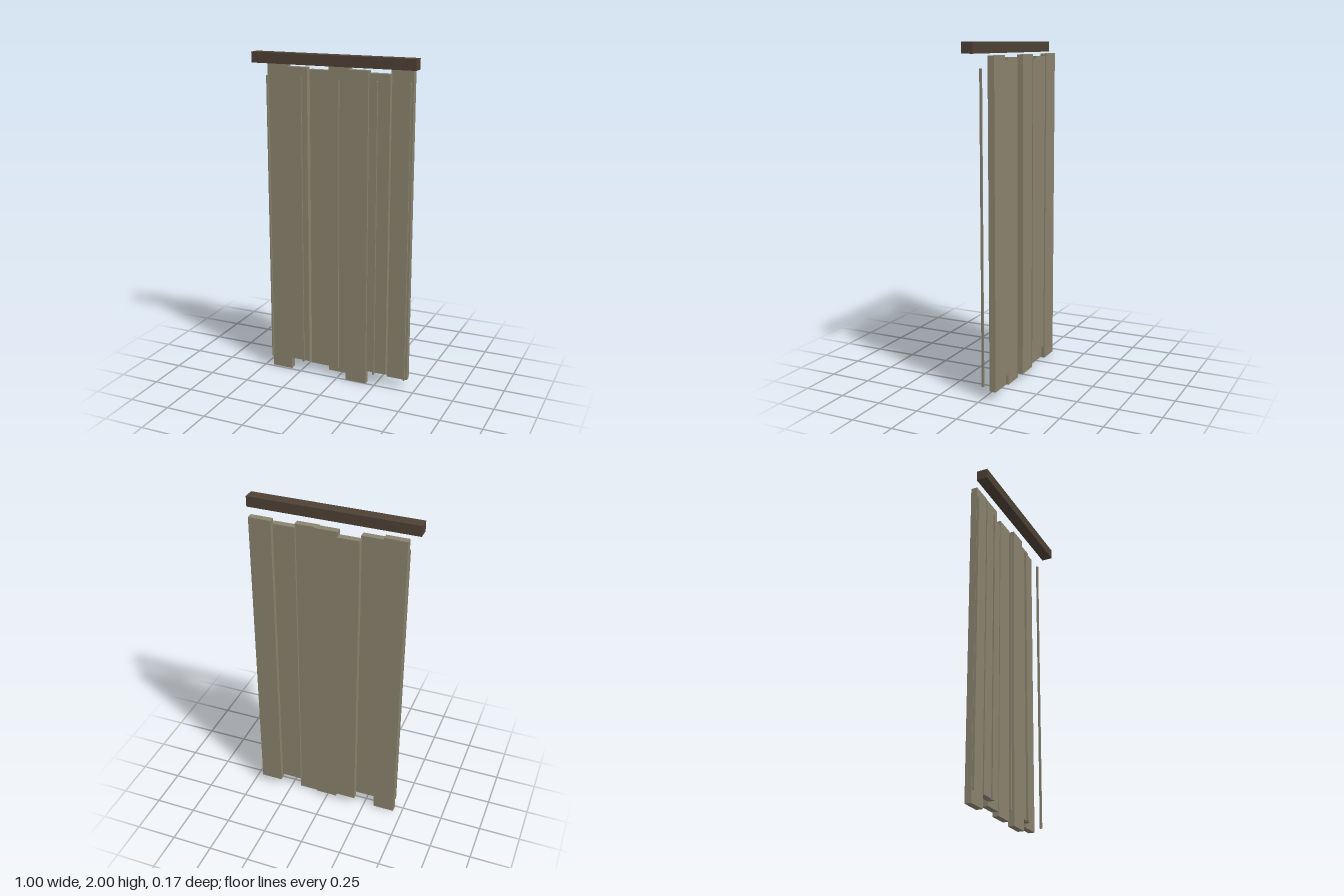
import * as THREE from 'three';

export function createModel() {
  const model = new THREE.Group();
  const plankWood = new THREE.MeshStandardMaterial({ color: 0x8a826e });
  plankWood.name = 'weathered wood';
  const beamWood = new THREE.MeshStandardMaterial({ color: 0x4e4035 });
  beamWood.name = 'dark wood';

  // Box given by its lower and upper limits on each axis
  const addBox = (name, material, [x0, x1], [y0, y1], [z0, z1]) => {
    const mesh = new THREE.Mesh(new THREE.BoxGeometry(x1 - x0, y1 - y0, z1 - z0), material);
    mesh.position.set((x0 + x1) / 2, (y0 + y1) / 2, (z0 + z1) / 2);
    mesh.name = name;
    model.add(mesh);
  };

  // Uneven vertical planks: centre x, bottom, top, front z
  const planks = [
    [-0.381, 0.002, 1.929, -0.01],
    [-0.254, 0.078, 1.915, -0.003],
    [-0.127, 0.053, 1.9, -0.04],
    [-0.001, 0.028, 1.929, -0.035],
    [0.126, 0, 1.915, -0.001],
    [0.252, 0.078, 1.9, -0.016],
    [0.379, 0.053, 1.929, -0.045],
  ];
  planks.forEach(([x, bottom, top, front], i) =>
    addBox(`plank${i + 1}`, plankWood, [x - 0.066, x + 0.066], [bottom, top], [front - 0.039, front]));

  // Thin battens in front of the planks
  [-0.444, -0.228, 0.008, 0.244, 0.441].forEach((x, i) =>
    addBox(`batten${i + 1}`, plankWood, [x - 0.0045, x + 0.0045], [0.072, 1.86], [-0.008, 0.005]));

  // Header beam across the top
  addBox('headerBeam', beamWood, [-0.5, 0.5], [1.938, 2], [0.014, 0.082]);

  return model;
}
